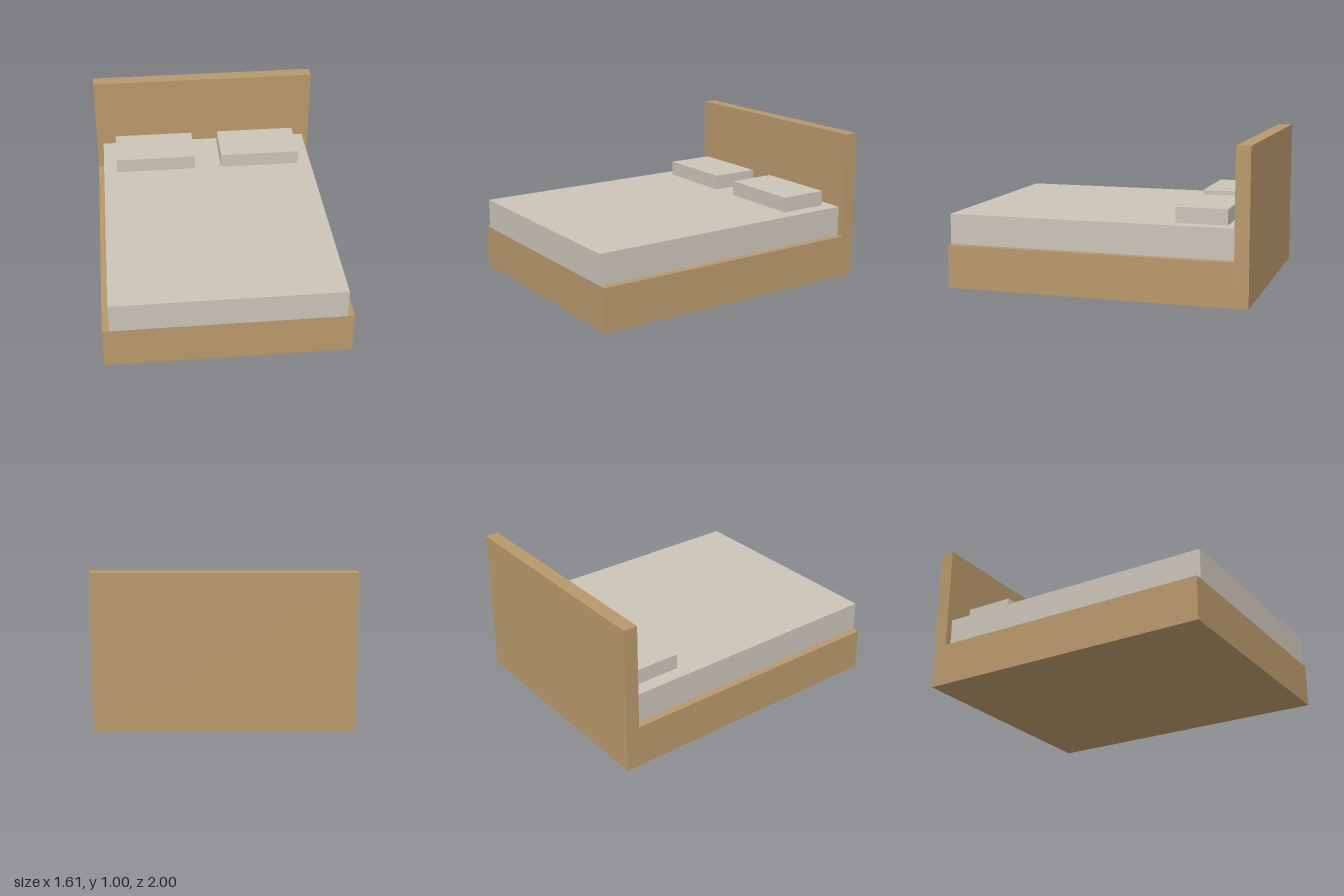
import * as THREE from 'three';

export function createModel() {
  const group = new THREE.Group();
  const wood = new THREE.MeshStandardMaterial({ color: 0xb8986b });
  wood.name = 'wood';
  const linen = new THREE.MeshStandardMaterial({ color: 0xcbc3b8 });
  linen.name = 'linen';

  // Box given by its minimum and maximum corners
  function box(name, material, [x0, y0, z0], [x1, y1, z1]) {
    const mesh = new THREE.Mesh(new THREE.BoxGeometry(x1 - x0, y1 - y0, z1 - z0), material);
    mesh.position.set((x0 + x1) / 2, (y0 + y1) / 2, (z0 + z1) / 2);
    mesh.name = name;
    group.add(mesh);
  }

  // Wooden base and headboard
  box('base', wood, [-0.807, 0, -0.907], [0.807, 0.287, 1]);
  box('headboard', wood, [-0.807, 0, -1], [0.807, 1, -0.907]);

  // Mattress, flush with the foot of the base
  box('mattress', linen, [-0.76, 0.287, -0.907], [0.76, 0.488, 1]);

  // Pair of pillows
  for (const [side, s] of [['left', 1], ['right', -1]]) {
    const xs = [0.097 * s, 0.665 * s].sort((a, b) => a - b);
    box(`${side}Pillow`, linen, [xs[0], 0.488, -0.837], [xs[1], 0.59, -0.503]);
  }

  return group;
}
